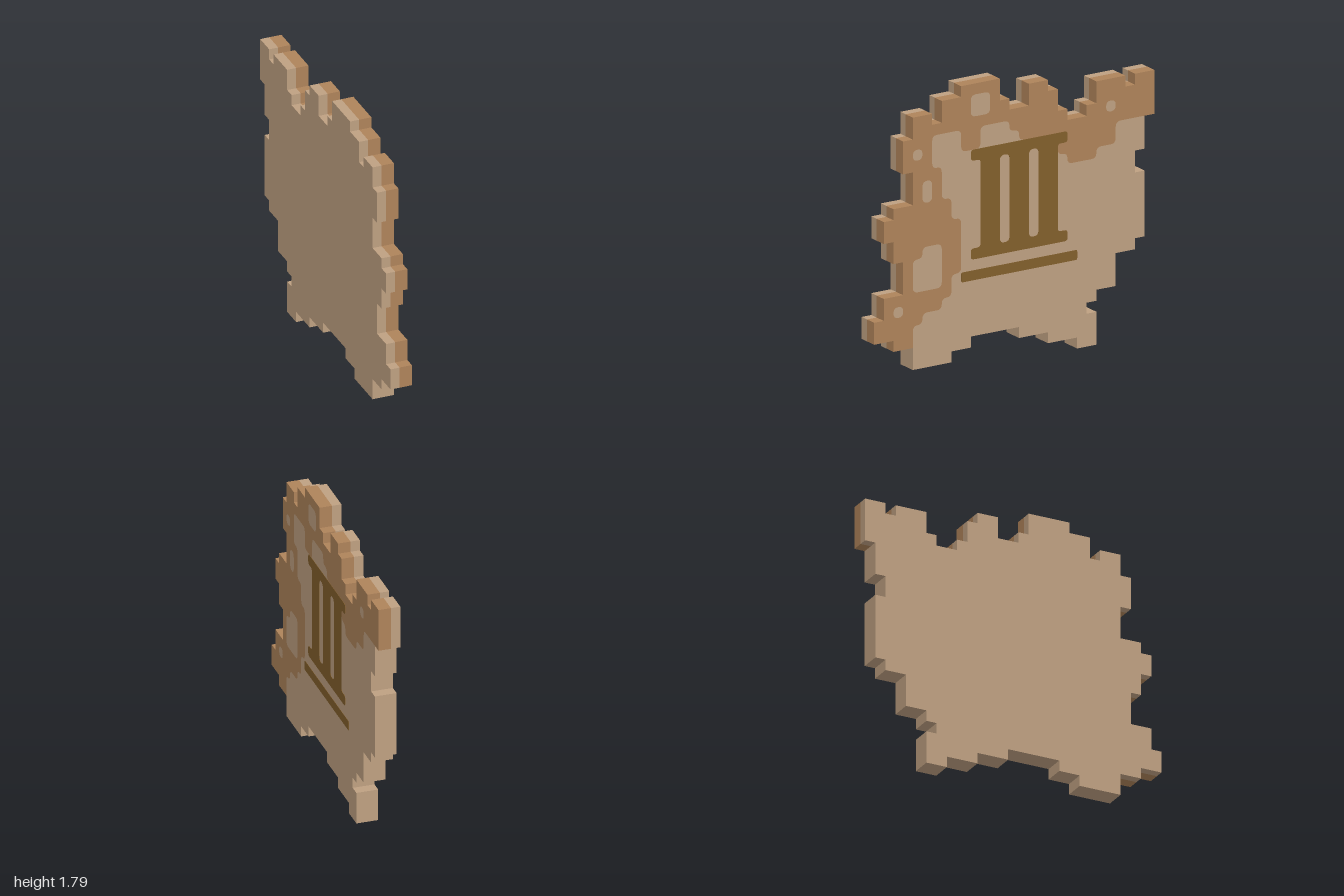
import * as THREE from 'three';

const CELL = 2 / 29;          // the outline steps along a square grid
const HALF = CELL;            // half of the slab thickness
const SPLIT = -0.01;          // where the front layer meets the back layer

// Grid coordinates (column from the +z edge, row from the ground) as pairs
const pairs = (...n) => {
  const out = [];
  for (let i = 0; i < n.length; i += 2) out.push(new THREE.Vector2(n[i], n[i + 1]));
  return out;
};

// Rounds the corners of a line; open lines keep their end points
function rounded(pts, r, closed = true) {
  const out = [], n = pts.length;
  pts.forEach((p, i) => {
    if (!closed && (i === 0 || i === n - 1)) { out.push(p); return; }
    const a = pts[(i + n - 1) % n], b = pts[(i + 1) % n];
    const ra = Math.min(r, p.distanceTo(a) * 0.49), rb = Math.min(r, p.distanceTo(b) * 0.49);
    const s = p.clone().add(a.clone().sub(p).setLength(ra));
    const e = p.clone().add(b.clone().sub(p).setLength(rb));
    out.push(...new THREE.QuadraticBezierCurve(s, p, e).getPoints(4));
  });
  return out;
}

// Plate standing in the z-y plane, from x0 to x1
function plate(name, pts, x0, x1, material, holes = []) {
  const scale = (list) => list.map((p) => new THREE.Vector2(p.x * CELL - 1, p.y * CELL));
  const shape = new THREE.Shape(scale(pts));
  shape.holes = holes.map((h) => new THREE.Path(scale(h)));
  const geo = new THREE.ExtrudeGeometry(shape, { depth: x1 - x0, bevelEnabled: false });
  geo.translate(0, 0, x0);
  geo.rotateY(Math.PI / 2);
  const mesh = new THREE.Mesh(geo, material);
  mesh.name = name;
  return mesh;
}

const rect = (u0, v0, u1, v1) => pairs(u0, v0, u1, v0, u1, v1, u0, v1);

export function createModel() {
  const mat = (name, color) => new THREE.MeshStandardMaterial({ name, color });
  const parchment = mat('pale parchment', 0xbea081);
  const stain = mat('brown stain', 0xae835a);
  const ink = mat('dark ink', 0x825f2c);

  const group = new THREE.Group();
  group.name = 'tornParchment';

  // Torn edge: up the +z side and over the top
  const upper = pairs(
    4, 3, 2, 3, 2, 4, 0, 4, 0, 6, 1, 6, 1, 8, 3, 8, 3, 11, 2, 11, 2, 13, 1, 13, 1, 15, 2, 15,
    2, 16, 4, 16, 4, 19, 3, 19, 3, 22, 4, 22, 4, 24, 6, 24, 6, 23, 7, 23, 7, 25, 9, 25, 9, 26,
    13, 26, 13, 24, 14, 24, 14, 23, 16, 23, 16, 25, 18, 25, 18, 24, 19, 24, 19, 22, 20, 22,
    20, 21, 22, 21, 22, 22, 23, 22, 23, 24, 26, 24, 26, 23, 27, 23, 27, 24, 29, 24, 29, 20, 28, 20);
  // Torn edge: down the -z side and along the bottom
  const lower = pairs(
    28, 17, 27, 17, 27, 15, 28, 15, 28, 9, 27, 9, 27, 8, 25, 8, 25, 5, 23, 5, 23, 4, 22, 4,
    22, 3, 23, 3, 23, 0, 21, 0, 21, 1, 18, 1, 18, 2, 15, 2, 15, 3, 10, 3, 10, 2, 8, 2, 8, 1, 4, 1);
  // Soft border between the stain and the clean sheet
  const border = rounded(pairs(
    4, 3, 4, 5, 5, 5, 5, 6, 7, 6, 7, 7, 8, 7, 8, 9, 9, 9, 9, 14, 8, 14, 8, 16, 7, 16, 7, 19,
    6, 19, 6, 22, 9, 22, 9, 20, 11, 20, 11, 22, 14, 22, 14, 21, 15, 21, 15, 20, 19, 20, 19, 18,
    20, 18, 20, 17, 23, 17, 23, 18, 25, 18, 25, 20, 28, 20), 0.5, false);

  // Pale spots inside the stain
  const spots = [
    rect(4, 20, 5, 21), rect(5, 16, 6, 18), rect(2, 6, 3, 7), rect(10, 23, 12, 25), rect(24, 21, 25, 22),
    pairs(4, 8, 7, 8, 7, 12, 5, 12, 5, 11, 4, 11),
  ].map((s) => rounded(s, 0.5));

  group.add(plate('backLayer', [...upper, ...lower], -HALF / 1, SPLIT, parchment));
  group.add(plate('cleanFront', [...border, ...lower], SPLIT, HALF, parchment));
  group.add(plate('stainedFront', [...upper, ...border.slice(1, -1).reverse()], SPLIT, HALF, stain, spots));
  spots.forEach((s, i) => group.add(plate('paleSpot' + (i + 1), s, SPLIT, HALF, parchment)));

  // Painted temple: cap, three columns and foot in one plate, with a step below
  const temple = rounded(pairs(
    10, 20, 10, 19, 11, 19, 11, 11, 10, 11, 10, 10, 20, 10, 20, 11, 19, 11, 19, 19, 20, 19, 20, 20), 0.3);
  const gaps = [13, 16].map((u) => rounded(rect(u, 11, u + 1, 19), 0.45));
  group.add(plate('templeColumns', temple, HALF, HALF + 0.002, ink, gaps));
  group.add(plate('templeStep', rounded(rect(9, 8.1, 21, 9), 0.15), HALF, HALF + 0.002, ink));

  return group;
}
